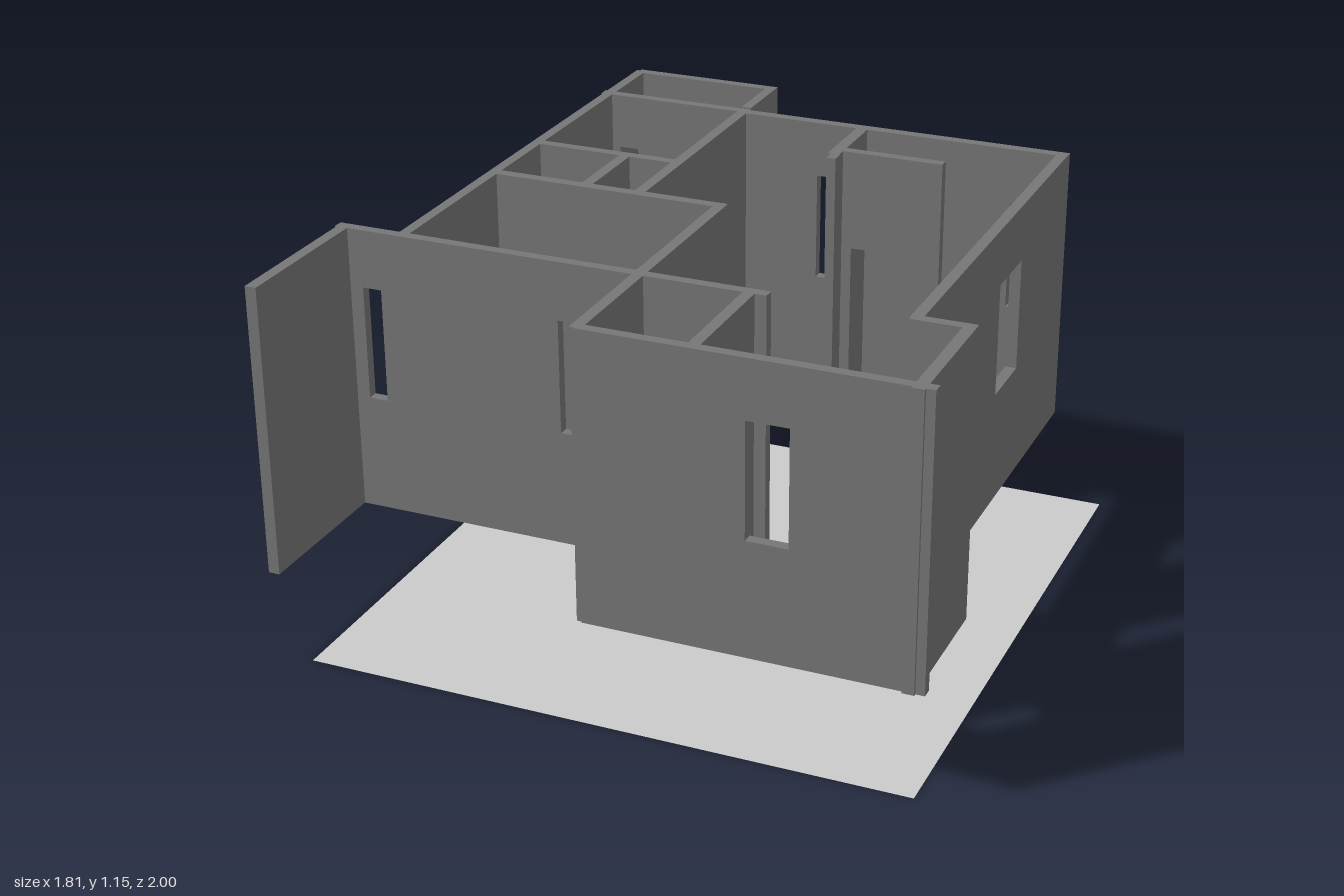
import * as THREE from 'three';

const BASE = 0.335, TOP = 1.155;      // wall bottom and top
const SILL = 0.665, HEAD = 0.99;      // window opening
const DOOR_HEAD = 0.86;

// One wall: a plan rectangle, with windows and doors given as [from, to] along its length
function wall(name, material, [x0, x1, z0, z1], { windows = [], doors = [] } = {}) {
  const alongX = x1 - x0 > z1 - z0;
  const [a, b] = alongX ? [x0, x1] : [z0, z1];
  const depth = alongX ? z1 - z0 : x1 - x0;

  const shape = new THREE.Shape();
  shape.moveTo(a, BASE);
  for (const [d0, d1] of doors) {
    shape.lineTo(d0, BASE);
    shape.lineTo(d0, DOOR_HEAD);
    shape.lineTo(d1, DOOR_HEAD);
    shape.lineTo(d1, BASE);
  }
  shape.lineTo(b, BASE);
  shape.lineTo(b, TOP);
  shape.lineTo(a, TOP);
  shape.closePath();
  for (const [w0, w1] of windows) {
    const hole = new THREE.Path();
    hole.moveTo(w0, SILL);
    hole.lineTo(w0, HEAD);
    hole.lineTo(w1, HEAD);
    hole.lineTo(w1, SILL);
    hole.closePath();
    shape.holes.push(hole);
  }

  const mesh = new THREE.Mesh(new THREE.ExtrudeGeometry(shape, { depth, bevelEnabled: false }), material);
  mesh.name = name;
  if (alongX) {
    mesh.position.z = z0;
  } else {
    mesh.rotation.y = -Math.PI / 2;
    mesh.position.x = x1;
  }
  return mesh;
}

export function createModel() {
  const model = new THREE.Group();
  model.name = 'housePlan';

  // Ground sheet below the floating walls
  const ground = new THREE.Mesh(
    new THREE.PlaneGeometry(1.74, 1.74),
    new THREE.MeshStandardMaterial({ color: 0xcccccc, side: THREE.DoubleSide })
  );
  ground.name = 'groundSheet';
  ground.rotation.x = -Math.PI / 2;
  model.add(ground);

  const grey = new THREE.MeshStandardMaterial({ color: 0x777777 });
  const walls = new THREE.Group();
  walls.name = 'walls';
  model.add(walls);

  // Plan rectangles: [x0, x1, z0, z1]
  const plan = [
    // Small rear annex
    ['annexBackWall', [-0.715, -0.255, -1, -0.97]],
    ['annexSideWall', [-0.285, -0.255, -0.99, -0.785]],
    // Outer walls
    ['rightSideWall', [-0.725, -0.695, -0.99, 0.545],
      { windows: [[-0.55, -0.44], [-0.19, -0.155], [0.19, 0.36]] }],
    ['rearRoomBackWall', [-0.73, -0.255, -0.77, -0.74], { windows: [[-0.67, -0.61]] }],
    ['mainBackWall', [-0.26, 0.74, -0.765, -0.733], { windows: [[-0.02, 0.045], [0.58, 0.65]] }],
    ['leftSideWall', [0.708, 0.74, -0.755, 0.54], { windows: [[-0.32, -0.125], [0.235, 0.385]] }],
    ['porchWall', [-0.905, 0.335, 0.52, 0.55], { windows: [[-0.83, -0.775], [-0.25, -0.18]] }],
    ['porchScreenWall', [-0.9, -0.868, 0.53, 1]],
    // Front bay
    ['bayFrontWall', [-0.02, 0.905, 0.89, 0.92], { windows: [[0.43, 0.545]] }],
    ['baySideWall', [0.847, 0.88, 0.53, 0.928]],
    ['bayReturnWall', [0.71, 0.88, 0.52, 0.55]],
    ['bayPartition', [0.27, 0.302, 0.54, 0.895]],
    // Inner partitions
    ['rearRoomSideWall', [-0.282, -0.25, -0.75, 0.01], { doors: [[-0.52, -0.33]] }],
    ['rearRoomFrontWall', [-0.705, -0.275, -0.28, -0.25]],
    ['closetPartition', [-0.443, -0.411, -0.26, 0.01]],
    ['middleWall', [-0.71, -0.005, -0.008, 0.024]],
    ['centreWall', [-0.036, -0.004, 0, 0.915], { doors: [[0.6, 0.77]] }],
    ['nookSideWall', [0.1, 0.135, -0.74, -0.5]],
    ['nookSideWallEnd', [0.11, 0.138, -0.5, -0.46]],
    ['nookFrontWall', [0.13, 0.435, -0.56, -0.53], { doors: [[0.165, 0.25]] }],
  ];
  for (const [name, rect, openings] of plan) walls.add(wall(name, grey, rect, openings));

  return model;
}
